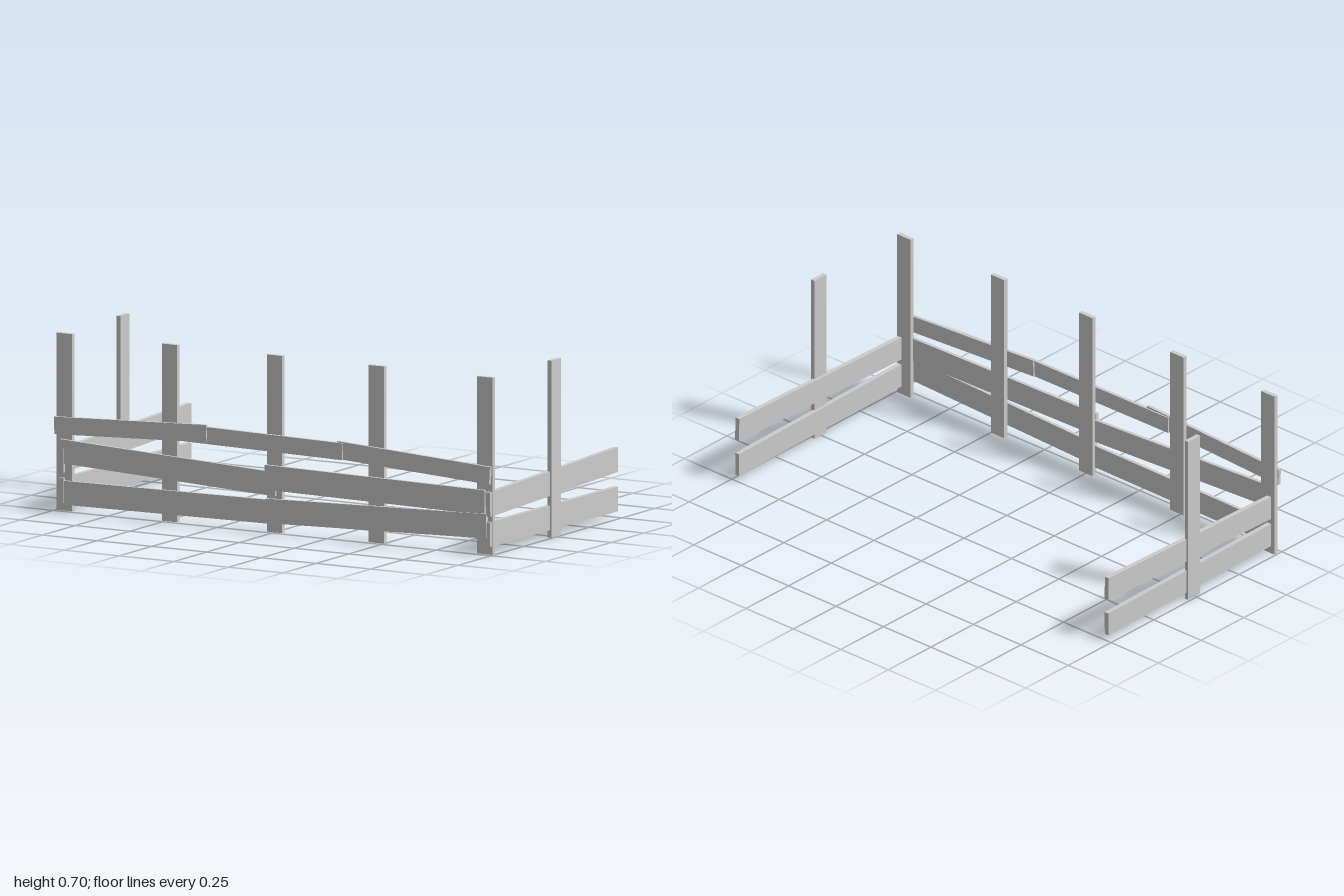
import * as THREE from 'three';

const material = new THREE.MeshStandardMaterial({ color: 0xcccccc, flatShading: true });

// Straight board whose long axis runs between two centre points, upright across its width
function board(name, from, to, width, thickness) {
  const a = new THREE.Vector3(...from), b = new THREE.Vector3(...to);
  const along = b.clone().sub(a);
  const length = along.length();
  along.normalize();
  const face = along.clone().cross(new THREE.Vector3(0, 1, 0)).normalize();
  const across = face.clone().cross(along);
  const mesh = new THREE.Mesh(new THREE.BoxGeometry(length, width, thickness), material);
  mesh.quaternion.setFromRotationMatrix(new THREE.Matrix4().makeBasis(along, across, face));
  mesh.position.copy(a).add(b).multiplyScalar(0.5);
  mesh.name = name;
  return mesh;
}

function post(name, x, z, w, d) {
  const h = 0.705;
  const mesh = new THREE.Mesh(new THREE.BoxGeometry(w, h, d), material);
  mesh.position.set(x, h / 2, z);
  mesh.name = name;
  return mesh;
}

export function createModel() {
  const fence = new THREE.Group();
  fence.name = 'fence';

  // Upright posts along the front
  [-0.96, -0.48, 0, 0.465, 0.96].forEach((x) => fence.add(post('frontPost', x, 0.472, 0.07, 0.018)));

  // Overlapping front planks: [name, x1, y1, z1, x2, y2, z2, width]
  [
    ['topPlank', -0.998, 0.338, 0.489, -0.302, 0.368, 0.492, 0.069],
    ['topPlank', -0.42, 0.361, 0.485, 0.32, 0.352, 0.492, 0.067],
    ['topPlank', 0.29, 0.356, 0.485, 0.99, 0.316, 0.488, 0.07],
    ['middlePlank', -0.978, 0.238, 0.487, 0.01, 0.193, 0.485, 0.095],
    ['middlePlank', -0.035, 0.219, 0.492, 0.966, 0.207, 0.486, 0.098],
    ['bottomPlank', -0.978, 0.073, 0.487, 0.02, 0.082, 0.485, 0.095],
    ['bottomPlank', -0.03, 0.085, 0.489, 0.978, 0.115, 0.492, 0.097],
  ].forEach(([name, x1, y1, z1, x2, y2, z2, w]) =>
    fence.add(board(name, [x1, y1, z1], [x2, y2, z2], w, 0.014)));

  // Sides: one outer post and two rails each
  [
    ['left', 0.988, 0.973, 0.983],
    ['right', -0.982, -0.975, -0.967],
  ].forEach(([side, postX, backX, frontX]) => {
    fence.add(post(side + 'Post', postX, -0.003, 0.018, 0.07));
    fence.add(board(side + 'LowerRail', [backX, 0.074, -0.498], [frontX, 0.082, 0.495], 0.098, 0.02));
    fence.add(board(side + 'UpperRail', [backX, 0.231, -0.498], [frontX, 0.201, 0.495], 0.098, 0.02));
  });

  return fence;
}
